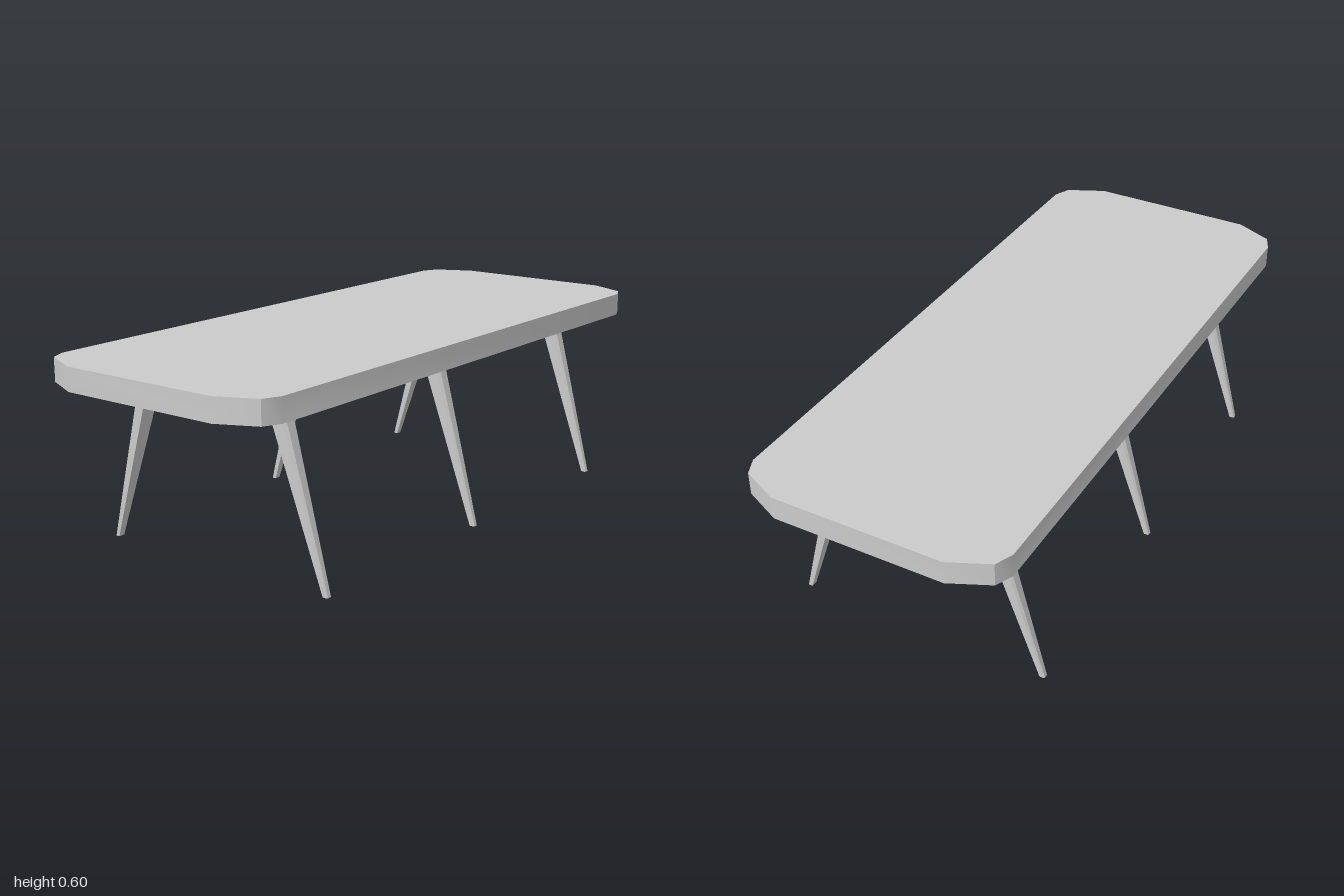
import * as THREE from 'three';
import { toCreasedNormals } from 'three/addons/utils/BufferGeometryUtils.js';

const material = new THREE.MeshStandardMaterial({ color: 0xcccccc });

// Slab with clipped corners, outlined in plan
function tabletopGeometry() {
  const corner = [[0.41, 0.892], [0.386, 0.945], [0.267, 1]];
  const back = [...corner].reverse();
  const outline = [
    ...corner,
    ...back.map(([x, z]) => [-x, z]),
    ...corner.map(([x, z]) => [-x, -z]),
    ...back.map(([x, z]) => [x, -z]),
  ].map(([x, z]) => new THREE.Vector2(x, z));
  const geometry = new THREE.ExtrudeGeometry(new THREE.Shape(outline), { depth: 0.072, bevelEnabled: false });
  geometry.rotateX(-Math.PI / 2).translate(0, 0.528, 0);
  return toCreasedNormals(geometry, 0.7);
}

// Tapered leg, crossbar and leg swept as one piece, outer edges chamfered
function legFrameGeometry() {
  // Each station: outer x, y, inner x, y, half depth
  const foot = [0.413, 0, 0.397, 0, 0.01];
  const knee = [0.269, 0.53, 0.238, 0.475, 0.027];
  const mirror = ([ox, oy, ix, iy, h]) => [-ox, oy, -ix, iy, h];
  const sections = [foot, knee, mirror(knee), mirror(foot)].map(([ox, oy, ix, iy, h]) => {
    const at = (t, z) => [ox + (ix - ox) * t, oy + (iy - oy) * t, z * h];
    return [at(0, -0.6), at(0, 0.6), at(0.2, 1), at(1, 1), at(1, -1), at(0.2, -1)];
  });
  const n = sections[0].length;
  const positions = sections.flat(2);
  const index = [];
  for (let s = 0; s < sections.length - 1; s++) {
    for (let i = 0; i < n; i++) {
      const a = s * n + i, b = s * n + (i + 1) % n;
      index.push(a, a + n, b, b, a + n, b + n);
    }
  }
  // Foot caps
  const last = (sections.length - 1) * n;
  for (let i = 1; i < n - 1; i++) {
    index.push(0, i, i + 1, last, last + i + 1, last + i);
  }
  const geometry = new THREE.BufferGeometry();
  geometry.setAttribute('position', new THREE.Float32BufferAttribute(positions, 3));
  geometry.setIndex(orientOutward(index, positions, n));
  return toCreasedNormals(geometry, 0.4);
}

// Flip all faces together if the enclosed volume comes out negative
function orientOutward(index, positions) {
  const point = (i) => new THREE.Vector3().fromArray(positions, i * 3);
  let volume = 0;
  for (let i = 0; i < index.length; i += 3) {
    volume += point(index[i]).dot(point(index[i + 1]).cross(point(index[i + 2])));
  }
  return volume < 0 ? [...index].reverse() : index;
}

export function createModel() {
  const group = new THREE.Group();
  group.name = 'table';

  const top = new THREE.Mesh(tabletopGeometry(), material);
  top.name = 'tabletop';
  group.add(top);

  // Three leg frames along the length
  const frame = legFrameGeometry();
  const places = { frontLegFrame: 0.713, middleLegFrame: -0.011, backLegFrame: -0.718 };
  for (const [name, z] of Object.entries(places)) {
    const mesh = new THREE.Mesh(frame, material);
    mesh.name = name;
    mesh.position.z = z;
    group.add(mesh);
  }
  return group;
}
